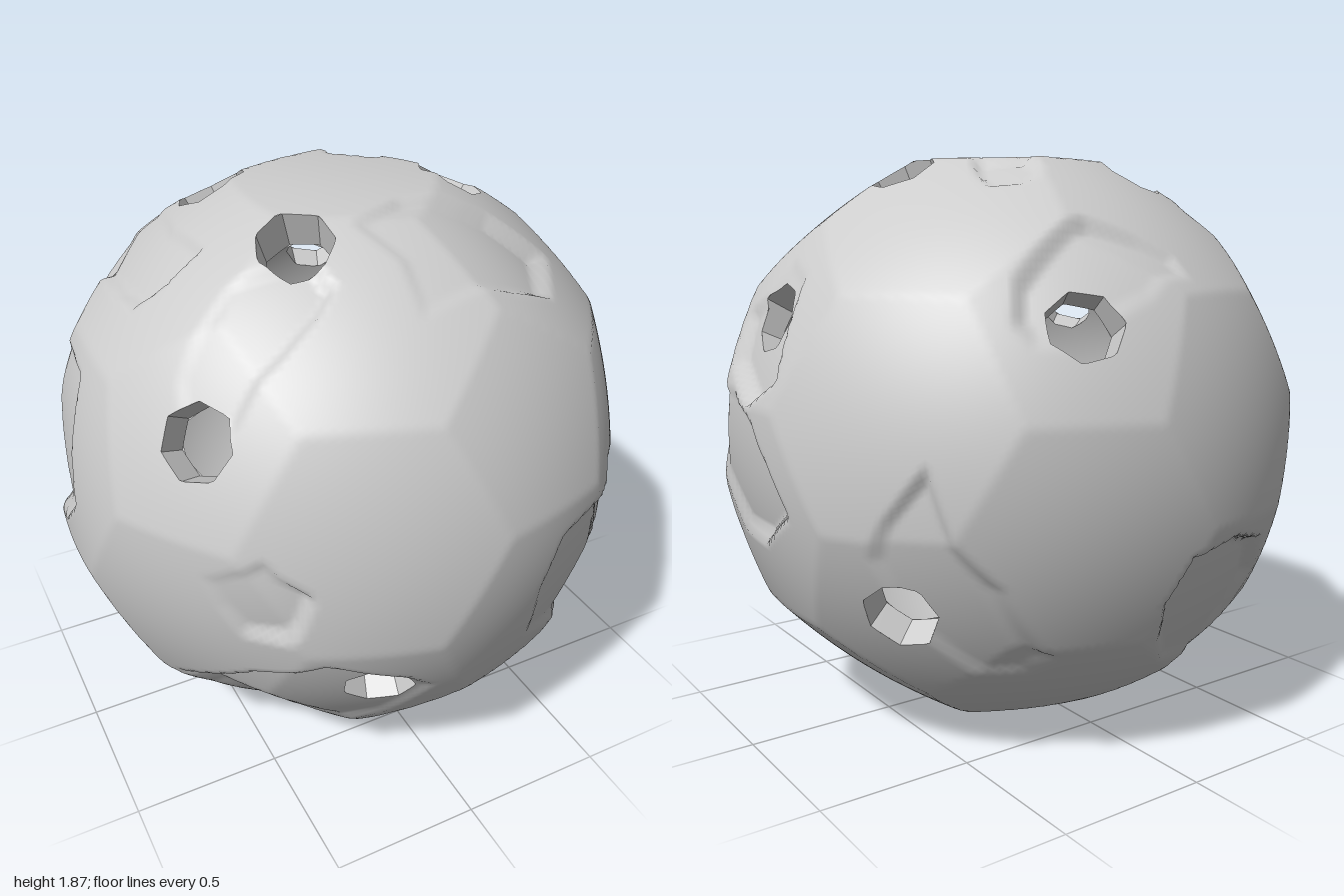
import * as THREE from 'three';
import { mergeVertices } from 'three/addons/utils/BufferGeometryUtils.js';

const CENTRE = 0.935, WALL = 0.875, SIDES = 7, HOLE = 0.125, CHIP_DEPTH = 0.055;
const V = (x, y, z) => new THREE.Vector3(x, y, z).normalize();
const ring = (deg, y) => {
  const a = THREE.MathUtils.degToRad(deg);
  return V(0.894 * Math.cos(a), y, 0.894 * Math.sin(a));
};

// Faces of a truncated icosahedron: 12 pentagons and 20 hexagons
const pentagons = [V(0, 1, 0), V(0, -1, 0)];
for (let k = 0; k < 5; k++) pentagons.push(ring(2 + 72 * k, 0.447), ring(38 + 72 * k, -0.447));
const planes = pentagons.map((n) => ({ n, d: 0.955 }));
const near = (a, b) => a.dot(b) > 0.4;
pentagons.forEach((a, i) => pentagons.forEach((b, j) => pentagons.forEach((c, k) => {
  if (i < j && j < k && near(a, b) && near(b, c) && near(a, c)) {
    planes.push({ n: a.clone().add(b).add(c).normalize(), d: 0.932 });
  }
})));

// Openings: three on top, four in each ring, two underneath
const holes = [
  V(-0.3, 0.83, -0.26), V(0.38, 0.82, 0.01), V(-0.27, 0.84, 0.28),
  V(0.35, -0.82, 0.17), V(-0.36, -0.83, 0),
  ...[4, -70, -142, 144].map((a) => ring(a, 0.46)),
  ...[38, -34, 108, 182].map((a) => ring(a, -0.43)),
].map((n) => {
  const u = new THREE.Vector3().crossVectors(Math.abs(n.y) > 0.8 ? V(0, 0, 1) : V(0, 1, 0), n).normalize();
  return { n, u, v: new THREE.Vector3().crossVectors(n, u) };
});
const SEG = (2 * Math.PI) / SIDES;
const rimAt = (a) => {
  const local = ((a % SEG) + SEG) % SEG - SEG / 2;
  return HOLE * Math.cos(SEG / 2) / Math.cos(local);
};
const rimDir = (h, a) => h.n.clone()
  .addScaledVector(h.u, rimAt(a) * Math.cos(a))
  .addScaledVector(h.v, rimAt(a) * Math.sin(a)).normalize();

// Chipped patches on each side: centre and half-size across and up
const sides = {
  front: (p) => [p.z, p.x, p.y + CENTRE],
  back: (p) => [-p.z, p.x, p.y + CENTRE],
  left: (p) => [p.x, p.z, p.y + CENTRE],
  right: (p) => [-p.x, p.z, p.y + CENTRE],
  top: (p) => [p.y, p.x, p.z],
};
const patches = {
  front: [[0.5, 0.75, 0.28, 0.36], [-0.42, 0.42, 0.34, 0.32], [-0.62, 0.95, 0.14, 0.18]],
  back: [[-0.2, 0.5, 0.32, 0.3]],
  left: [[0.17, 0.92, 0.38, 0.32], [0.62, 0.78, 0.22, 0.34], [-0.62, 0.62, 0.2, 0.42], [0.05, 1.33, 0.25, 0.22]],
  right: [[-0.25, 1.1, 0.3, 0.36]],
  top: [[0.2, -0.75, 0.42, 0.12], [0.23, -0.3, 0.12, 0.15], [0.25, 0.42, 0.42, 0.27], [-0.6, -0.2, 0.17, 0.4], [-0.45, 0.45, 0.28, 0.16]],
};
let seed = 7;
const random = () => (seed = (seed * 16807) % 2147483647) / 2147483647;
const chips = Object.entries(patches).flatMap(([side, list]) => list.map(([x, y, rx, ry]) => ({
  view: sides[side], x, y, rx, ry,
  tilt: 2 * Math.PI * random(),
  outline: Array.from({ length: 9 }, (_, i) => {
    const a = ((i + 0.5 * random()) / 9) * 2 * Math.PI, r = 0.65 + 0.45 * random();
    return [x + rx * r * Math.cos(a), y + ry * r * Math.sin(a)];
  }),
})));

// Distance inside an outline, or 0 outside it
function insideDistance(x, y, outline) {
  let inside = false, best = Infinity;
  outline.forEach(([ax, ay], i) => {
    const [bx, by] = outline[(i + 1) % outline.length];
    if ((ay > y) !== (by > y) && x < ((bx - ax) * (y - ay)) / (by - ay) + ax) inside = !inside;
    const dx = bx - ax, dy = by - ay;
    const t = THREE.MathUtils.clamp(((x - ax) * dx + (y - ay) * dy) / (dx * dx + dy * dy), 0, 1);
    best = Math.min(best, Math.hypot(x - ax - t * dx, y - ay - t * dy));
  });
  return inside ? best : 0;
}

// Chip depth: a steep edge on one side, fading out on the other
function chipDepth(p, { view, x, y, rx, ry, tilt, outline }) {
  const [facing, px, py] = view(p);
  if (facing < 0.2) return 0;
  const slope = 0.55 + 0.45 * ((px - x) / rx * Math.cos(tilt) + (py - y) / ry * Math.sin(tilt));
  return CHIP_DEPTH * THREE.MathUtils.clamp(slope, 0, 1)
    * THREE.MathUtils.smoothstep(insideDistance(px, py, outline), 0, 0.035)
    * THREE.MathUtils.smoothstep(facing, 0.2, 0.45);
}

// Softly faceted ball with a flat top and base, less any chip
function outerRadius(dir) {
  let facet = Infinity;
  for (const { n, d } of planes) {
    const c = n.dot(dir);
    if (c > 0.5) facet = Math.min(facet, d / c);
  }
  const r = Math.min((facet + 0.985) / 2, CENTRE / Math.abs(dir.y));
  const p = dir.clone().multiplyScalar(r);
  return r - Math.max(...chips.map((chip) => chipDepth(p, chip)));
}

// Ball skin with the openings cut out and their rims squared up
function skin(detail, radius, roundness) {
  const base = new THREE.IcosahedronGeometry(1, detail);
  base.deleteAttribute('uv');
  base.deleteAttribute('normal');
  const geo = mergeVertices(base);
  const pos = geo.attributes.position;
  const owner = [], dirs = [];
  for (let i = 0; i < pos.count; i++) {
    let d = new THREE.Vector3().fromBufferAttribute(pos, i).normalize();
    owner[i] = -1;
    holes.forEach((h, k) => {
      const c = d.dot(h.n);
      if (c < 0.9) return;
      const x = d.dot(h.u) / c, y = d.dot(h.v) / c;
      const a = Math.atan2(y, x);
      if (Math.hypot(x, y) < rimAt(a)) {
        owner[i] = k;
        d = rimDir(h, a);
      }
    });
    dirs[i] = d;
    const p = d.clone().multiplyScalar(radius(d));
    pos.setXYZ(i, p.x, p.y, p.z);
  }
  const keep = [], idx = geo.index.array;
  for (let t = 0; t < idx.length; t += 3) {
    const [a, b, c] = [idx[t], idx[t + 1], idx[t + 2]];
    if (owner[a] < 0 || owner[a] !== owner[b] || owner[a] !== owner[c]) keep.push(a, b, c);
  }
  geo.setIndex(keep);
  geo.computeVertexNormals();
  // Soften the facets into a rounded sheen
  const nor = geo.attributes.normal;
  dirs.forEach((d, i) => {
    const n = new THREE.Vector3().fromBufferAttribute(nor, i).lerp(d, roundness).normalize();
    nor.setXYZ(i, n.x, n.y, n.z);
  });
  return geo;
}

// Seven-sided wall joining the outer and inner skins
function tunnel(h) {
  const steps = SIDES * 4, points = [], index = [];
  for (let i = 0; i <= steps; i++) {
    const d = rimDir(h, (i / steps) * 2 * Math.PI);
    points.push(...d.clone().multiplyScalar(outerRadius(d)).toArray(), ...d.multiplyScalar(WALL).toArray());
    const a = i * 2;
    if (i < steps) index.push(a, a + 1, a + 2, a + 1, a + 3, a + 2);
  }
  const geo = new THREE.BufferGeometry();
  geo.setAttribute('position', new THREE.Float32BufferAttribute(points, 3));
  geo.setIndex(index);
  const flat = geo.toNonIndexed();
  flat.computeVertexNormals();
  return flat;
}

export function createModel() {
  const stone = new THREE.MeshStandardMaterial({ color: 0xcccccc, side: THREE.DoubleSide });
  stone.name = 'light grey stone';
  const group = new THREE.Group();
  group.name = 'hollowBall';
  const add = (name, geo) => {
    const mesh = new THREE.Mesh(geo, stone);
    mesh.name = name;
    mesh.position.y = CENTRE;
    group.add(mesh);
  };
  add('outerShell', skin(60, outerRadius, 0.4));
  add('innerShell', skin(30, () => WALL, 0));
  holes.forEach((h, i) => add(`holeWall${i + 1}`, tunnel(h)));
  return group;
}
